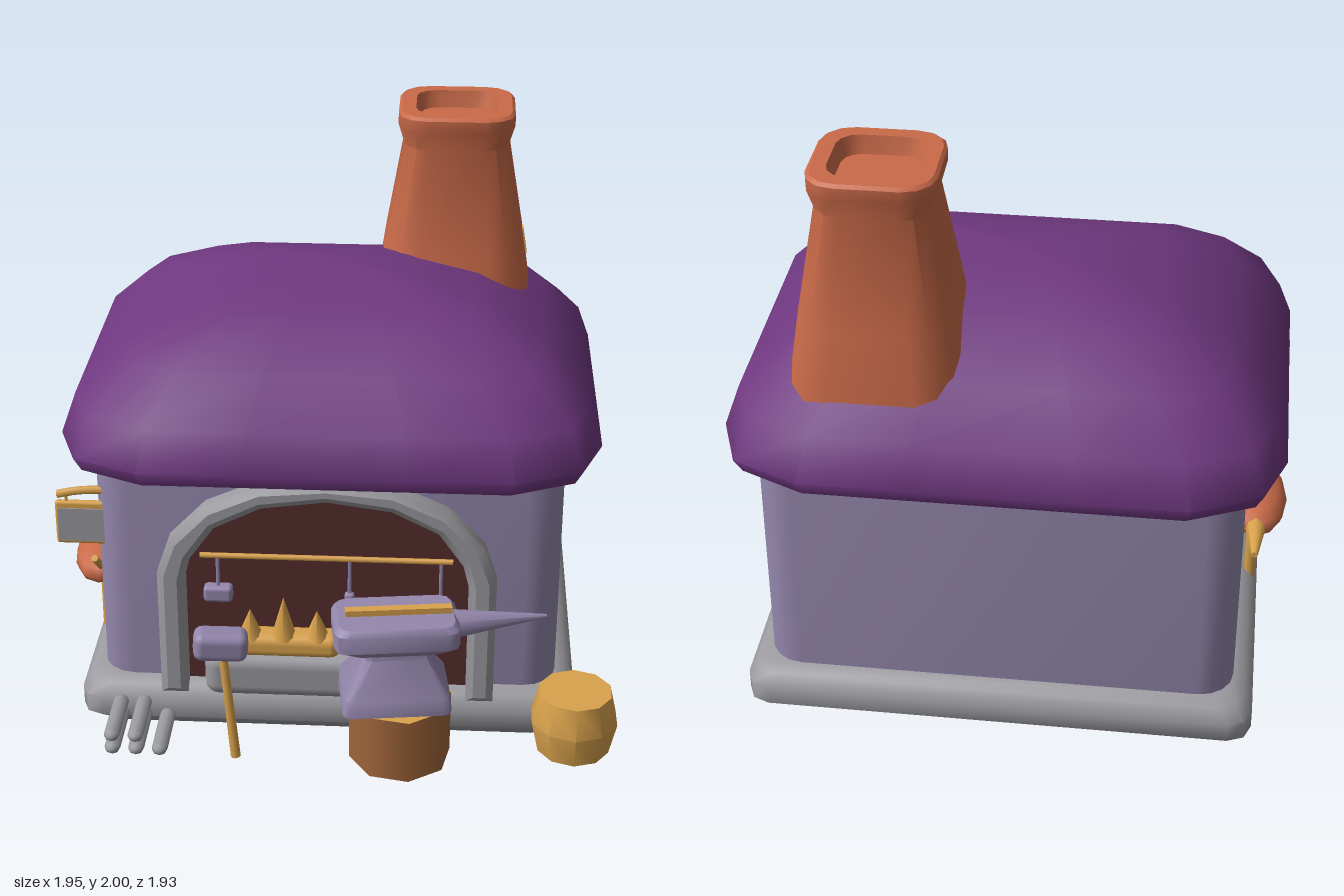
import * as THREE from 'three';
import { toCreasedNormals } from 'three/addons/utils/BufferGeometryUtils.js';
import { RoundedBoxGeometry } from 'three/addons/geometries/RoundedBoxGeometry.js';

const mat = (name, color, extra = {}) => {
  const m = new THREE.MeshStandardMaterial({ color, ...extra });
  m.name = name;
  return m;
};

export function createModel() {
  const roofPurple = mat('roofPurple', 0x6f3880);
  const lavender = mat('lavenderStone', 0x9487ad);
  const grey = mat('greyStone', 0x9b9a9f);
  const terracotta = mat('terracotta', 0xc96a48);
  const gold = mat('goldenWood', 0xd9a24c);
  const brown = mat('brownBark', 0xa0653a);
  const maroon = mat('darkOpening', 0x552c2c);

  const model = new THREE.Group();
  model.name = 'forge';

  const add = (name, geo, material, pos = [0, 0, 0], parent = model) => {
    const mesh = new THREE.Mesh(geo, material);
    mesh.name = name;
    mesh.position.set(...pos);
    parent.add(mesh);
    return mesh;
  };

  // Rounded rectangle outline, n segments per corner
  const outline = (hx, hz, r, n) => {
    const pts = [];
    [[1, 1], [-1, 1], [-1, -1], [1, -1]].forEach(([sx, sz], q) => {
      for (let i = 0; i <= n; i++) {
        const a = (q + i / n) * Math.PI / 2;
        pts.push([sx * (hx - r) + r * Math.cos(a), sz * (hz - r) + r * Math.sin(a)]);
      }
    });
    return pts;
  };

  // Closed skin through rings [y, points], listed from the bottom up
  const loft = (rings, crease = 0.7) => {
    const pos = [];
    const P = (k, i) => {
      const [y, pts] = rings[k];
      const p = pts[i % pts.length];
      return [p[0], y, p[1]];
    };
    const n = rings[0][1].length, last = rings.length - 1;
    for (let i = 0; i < n; i++) {
      pos.push(0, rings[0][0], 0, ...P(0, i), ...P(0, i + 1));
      for (let k = 0; k < last; k++) {
        pos.push(...P(k, i), ...P(k + 1, i), ...P(k, i + 1));
        pos.push(...P(k, i + 1), ...P(k + 1, i), ...P(k + 1, i + 1));
      }
      pos.push(0, rings[last][0], 0, ...P(last, i + 1), ...P(last, i));
    }
    const g = new THREE.BufferGeometry();
    g.setAttribute('position', new THREE.Float32BufferAttribute(pos, 3));
    return toCreasedNormals(g, crease);
  };

  // Round bar between two points
  const bar = (name, a, b, r1, r2, material, seg = 8, parent = model) => {
    const A = new THREE.Vector3(...a), B = new THREE.Vector3(...b);
    const d = B.clone().sub(A);
    const m = add(name, new THREE.CylinderGeometry(r2, r1, d.length(), seg), material,
      A.clone().add(B).multiplyScalar(0.5).toArray(), parent);
    m.quaternion.setFromUnitVectors(new THREE.Vector3(0, 1, 0), d.normalize());
    return m;
  };

  // Foundation and walls
  const cx = -0.02, cz = -0.19;
  add('foundation', loft([[0, 0.07], [0.065, 0], [0.135, 0], [0.18, 0.03], [0.2, 0.07]]
    .map(([y, d]) => [y, outline(0.87 - d, 0.73 - d, 0.08, 2)]), 0.9), grey, [cx, 0, cz]);
  add('walls', loft([[0.19, 0], [1.05, 0]].map(([y]) => [y, outline(0.8, 0.66, 0.12, 4)])),
    lavender, [cx, 0, cz]);

  // Pillowy roof
  const quarter = [[1, 0.3], [1, 0.61], [0.92, 0.87], [0.68, 1], [0.3, 1]];
  const roofPlan = (a, b) => [[1, 1], [-1, 1], [-1, -1], [1, -1]].flatMap(([sx, sz]) =>
    (sx * sz > 0 ? quarter : [...quarter].reverse()).map(([x, z]) => [sx * x * a, sz * z * b]));
  add('roof', loft([[1.0, 0.89, 0.74], [1.0, 0.9, 0.755], [1.05, 0.925, 0.775], [1.18, 0.88, 0.71],
    [1.33, 0.73, 0.56], [1.45, 0.5, 0.34], [1.51, 0.24, 0.14], [1.53, 0.05, 0.03]]
    .map(([y, a, b]) => [y, roofPlan(a, b)]), 1.0), roofPurple, [cx, 0, cz]);

  // Chimney with a shallow flue
  add('chimney', loft([[1.1, 0.305], [1.25, 0.29], [1.5, 0.252], [1.88, 0.186], [1.95, 0.206],
    [1.99, 0.206], [2.0, 0.195], [2.0, 0.145], [1.94, 0.13]]
    .map(([y, h]) => [y, outline(h, h, h * 0.5, 3)]), 0.6), terracotta, [0.385, 0, -0.525]);
  const brick = add('chimneyPatch', new THREE.BoxGeometry(0.009, 0.1, 0.04), gold, [0.642, 1.47, -0.57]);
  brick.rotation.z = 0.17;

  // Arched doorway: stone surround and dark opening
  const halfOuter = [[0.58, 0.16], [0.58, 0.64], [0.535, 0.77], [0.41, 0.9], [0.23, 0.98]];
  const halfInner = [[0.485, 0.16], [0.485, 0.62], [0.465, 0.7], [0.38, 0.82], [0.22, 0.9]];
  const archLine = (half, top) => [...half.map(([x, y]) => new THREE.Vector2(x, y)),
    new THREE.Vector2(0, top),
    ...[...half].reverse().map(([x, y]) => new THREE.Vector2(-x, y))];
  const surround = new THREE.Shape([...archLine(halfOuter, 1.0), ...archLine(halfInner, 0.93).reverse()]);
  add('archSurround', toCreasedNormals(new THREE.ExtrudeGeometry(surround, {
    depth: 0.07, bevelEnabled: true, bevelSize: 0.025, bevelThickness: 0.02, bevelOffset: -0.025, bevelSegments: 1,
  }), 0.5), grey, [cx, 0, 0.45]);
  add('opening', new THREE.ShapeGeometry(new THREE.Shape(archLine(halfInner, 0.93))), maroon, [cx, 0.02, 0.477]);

  // Hearth, embers and flames
  add('hearth', new RoundedBoxGeometry(0.55, 0.17, 0.15, 2, 0.05), grey, [-0.165, 0.275, 0.525]);
  add('embers', new RoundedBoxGeometry(0.36, 0.09, 0.1, 2, 0.035), gold, [-0.15, 0.385, 0.53]);
  [[-0.28, 0.52], [-0.165, 0.57], [-0.05, 0.52]].forEach(([x, top]) =>
    bar('flame', [x, 0.41, 0.54], [x, top, 0.54], 0.045, 0, gold, 7));

  // Tool rail with hanging tools
  bar('toolRail', [-0.45, 0.715, 0.52], [0.41, 0.715, 0.52], 0.01, 0.01, gold);
  [[-0.39, 0.58], [0.06, 0.54], [0.37, 0.57]].forEach(([x, y]) =>
    bar('toolRod', [x, 0.72, 0.52], [x, y, 0.52], 0.007, 0.007, lavender, 6));
  add('hangingHammer', new RoundedBoxGeometry(0.1, 0.06, 0.05, 2, 0.015), lavender, [-0.39, 0.57, 0.52]);
  add('hangingChisel', new RoundedBoxGeometry(0.035, 0.09, 0.03, 2, 0.012), lavender, [0.06, 0.54, 0.52]);
  add('hangingRing', new THREE.TorusGeometry(0.035, 0.009, 6, 14), lavender, [0.37, 0.54, 0.52]);

  // Anvil on its stump
  const stump = add('stump', new THREE.CylinderGeometry(0.172, 0.172, 0.23, 8), [brown, gold, gold], [0.245, 0.245, 0.795]);
  stump.rotation.y = 0.2;
  const anvil = new THREE.Group();
  anvil.name = 'anvil';
  anvil.position.set(0.225, 0, 0.8);
  anvil.rotation.y = 0.13;
  model.add(anvil);
  add('anvilBody', loft([[0.36, 0.18, 0.13], [0.42, 0.175, 0.125], [0.53, 0.11, 0.055], [0.56, 0.11, 0.055],
    [0.6, 0.17, 0.1]].map(([y, x, z]) => [y, outline(x, z, 0.03, 2)])), lavender, [0, 0, 0], anvil);
  add('anvilFace', loft([[0.57, 0.16, 0.09], [0.6, 0.205, 0.118], [0.66, 0.205, 0.118], [0.68, 0.19, 0.105]]
    .map(([y, x, z]) => [y, outline(x, z, 0.04, 2)])), lavender, [0, 0, 0], anvil);
  bar('anvilHorn', [0.17, 0.63, 0], [0.5, 0.648, 0], 0.052, 0.006, lavender, 10, anvil);
  add('hotBar', new THREE.BoxGeometry(0.35, 0.025, 0.03), gold, [0.01, 0.688, 0], anvil);

  // Upright sledgehammer
  bar('hammerHandle', [-0.305, 0.13, 0.85], [-0.345, 0.56, 0.83], 0.017, 0.014, gold);
  const head = add('hammerHead', new RoundedBoxGeometry(0.18, 0.1, 0.1, 2, 0.03), lavender, [-0.348, 0.56, 0.83]);
  head.rotation.set(0, 0.14, -0.08);

  // Stack of metal bars
  [[-0.72, 0.16], [-0.64, 0.16], [-0.56, 0.16], [-0.72, 0.21], [-0.64, 0.21]].forEach(([x, y]) => {
    const ingot = add('metalBar', new THREE.CapsuleGeometry(0.027, 0.2, 3, 8), grey, [x, y, 0.765]);
    ingot.rotation.x = Math.PI / 2;
    ingot.scale.z = 0.8;
  });

  // Barrel
  const barrelProfile = [[0, 0.13], [0.125, 0.13], [0.15, 0.245], [0.125, 0.35], [0, 0.35]]
    .map(([r, y]) => new THREE.Vector2(r, y));
  add('barrel', toCreasedNormals(new THREE.LatheGeometry(barrelProfile, 10), 0.7), gold, [0.83, 0, 0.72]);

  // Hanging sign
  const bracket = new THREE.CatmullRomCurve3([[-0.95, 0.875], [-0.88, 0.89], [-0.79, 0.895], [-0.69, 0.88]]
    .map(([x, y]) => new THREE.Vector3(x, y, 0.41)));
  add('signBracket', new THREE.TubeGeometry(bracket, 10, 0.014, 6), gold);
  add('signFrame', new RoundedBoxGeometry(0.21, 0.165, 0.025, 2, 0.012), gold, [-0.855, 0.77, 0.41]);
  add('signPanel', new THREE.BoxGeometry(0.19, 0.125, 0.034), grey, [-0.855, 0.765, 0.41]);
  for (const x of [-0.92, -0.79]) bar('signHanger', [x, 0.84, 0.41], [x, 0.89, 0.41], 0.006, 0.006, gold, 6);

  // Bellows beside the wall
  const bellows = add('bellows', new THREE.SphereGeometry(1, 12, 8), terracotta, [-0.87, 0.42, -0.01]);
  bellows.scale.set(0.11, 0.072, 0.21);
  bar('bellowsNozzle', [-0.87, 0.42, -0.17], [-0.87, 0.42, -0.35], 0.04, 0.012, gold);
  bar('bellowsHandle', [-0.86, 0.43, 0.14], [-0.86, 0.55, 0.28], 0.013, 0.013, gold);
  for (const z of [-0.13, 0.08]) bar('bellowsLeg', [-0.86, 0.135, z], [-0.86, 0.4, z], 0.02, 0.02, gold);

  return model;
}
